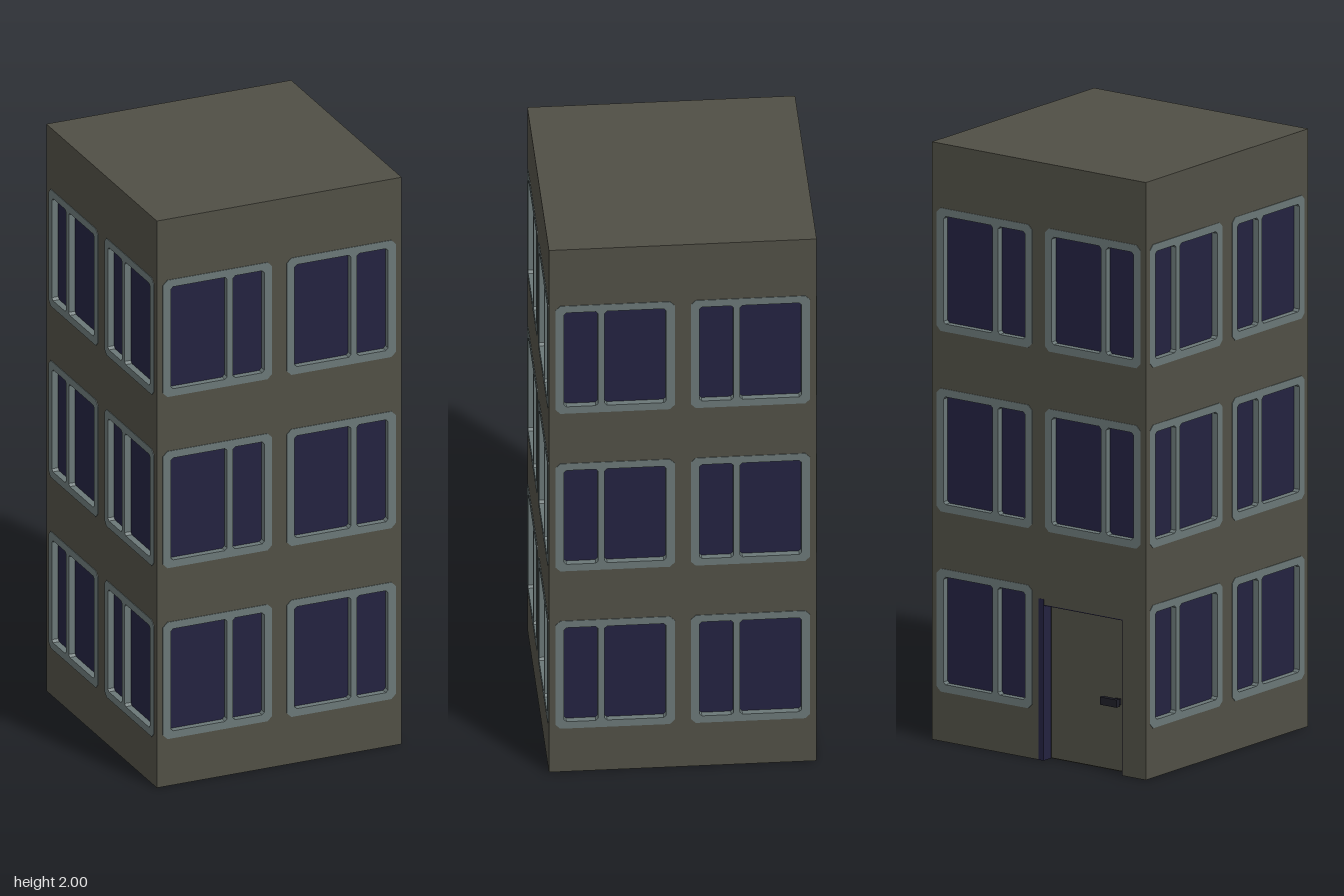
import * as THREE from 'three';

const H = 0.435;      // half width of the tower
const WALL = 0.04;    // facade thickness
const ROWS = [0.372, 0.975, 1.579];
const COLS = [-0.22, 0.22];

function material(name, color) {
  const m = new THREE.MeshStandardMaterial({ color });
  m.name = name;
  return m;
}

// Rectangle with cut corners
function chamferRect(Type, x0, x1, y0, y1, c) {
  return new Type([
    [x0 + c, y0], [x1 - c, y0], [x1, y0 + c], [x1, y1 - c],
    [x1 - c, y1], [x0 + c, y1], [x0, y1 - c], [x0, y0 + c],
  ].map(([x, y]) => new THREE.Vector2(x, y)));
}

export function createModel() {
  const wall = material('wall', 0x504f45);
  const trim = material('windowFrame', 0x6a7777);
  const glass = material('darkGlass', 0x232240);
  const dark = material('handleMetal', 0x1e1e28);

  const model = new THREE.Group();
  model.name = 'towerBlock';

  function add(parent, name, geometry, mat, x = 0, y = 0, z = 0) {
    const mesh = new THREE.Mesh(geometry, mat);
    mesh.name = name;
    mesh.position.set(x, y, z);
    parent.add(mesh);
    return mesh;
  }
  // Box given by its limits
  function span(parent, name, mat, x0, x1, y0, y1, z0, z1) {
    return add(parent, name, new THREE.BoxGeometry(x1 - x0, y1 - y0, z1 - z0), mat,
      (x0 + x1) / 2, (y0 + y1) / 2, (z0 + z1) / 2);
  }

  // Solid core carrying roof and floor
  const core = 2 * (H - WALL);
  add(model, 'core', new THREE.BoxGeometry(core, 2, core), wall, 0, 1, 0);

  // Frame with a wide and a narrow pane; s = -1 swaps the panes
  function frameGeometry(s) {
    const shape = chamferRect(THREE.Shape, -0.194, 0.194, -0.206, 0.206, 0.016);
    for (const [a, b] of [[-0.166, 0.034], [0.055, 0.166]]) {
      shape.holes.push(chamferRect(THREE.Path, Math.min(a * s, b * s), Math.max(a * s, b * s), -0.18, 0.18, 0.008));
    }
    return new THREE.ExtrudeGeometry(shape, { depth: 0.024, bevelEnabled: false });
  }
  const frames = { 1: frameGeometry(1), [-1]: frameGeometry(-1) };
  const pane = new THREE.PlaneGeometry(0.35, 0.376);

  function facade(name, angle, s, hasDoor) {
    const g = new THREE.Group();
    g.name = name;
    g.rotation.y = angle;
    model.add(g);

    // Wall outline, notched at the doorway
    const outline = [[-H, 0]];
    if (hasDoor) outline.push([0.018, 0], [0.018, 0.522], [0.34, 0.522], [0.34, 0]);
    outline.push([H, 0], [H, 2], [-H, 2]);
    const shape = new THREE.Shape(outline.map(([x, y]) => new THREE.Vector2(x, y)));

    for (const x of COLS) {
      for (const y of ROWS) {
        if (hasDoor && x > 0 && y === ROWS[0]) continue;
        shape.holes.push(chamferRect(THREE.Path, x - 0.172, x + 0.172, y - 0.186, y + 0.186, 0.004));
        const win = new THREE.Group();
        win.name = 'window';
        win.position.set(x, y, 0);
        g.add(win);
        add(win, 'windowFrame', frames[s], trim, 0, 0, H + 0.002 - 0.024);
        add(win, 'windowGlass', pane, glass, 0, 0, H - 0.02);
      }
    }
    add(g, 'wall', new THREE.ExtrudeGeometry(shape, { depth: WALL, bevelEnabled: false }), wall, 0, 0, H - WALL);

    if (hasDoor) {
      const back = H - WALL;
      // Dark jambs and lintel lining the recess
      span(g, 'doorJamb', glass, 0, 0.02, 0, 0.54, back, H + 0.001);
      span(g, 'doorJamb', glass, 0.337, 0.345, 0, 0.525, back, H - 0.0005);
      span(g, 'doorLintel', glass, 0.015, 0.343, 0.519, 0.528, back, H - 0.0005);
      // Door leaf with lever handle
      span(g, 'doorLeaf', wall, 0.024, 0.333, 0.003, 0.515, back, back + 0.005);
      span(g, 'handleStem', dark, 0.288, 0.308, 0.225, 0.245, back + 0.005, back + 0.025);
      span(g, 'handleLever', dark, 0.245, 0.312, 0.222, 0.248, back + 0.02, back + 0.036);
    }
  }

  facade('frontFacade', 0, 1, false);
  facade('backFacade', Math.PI, 1, true);
  facade('leftFacade', Math.PI / 2, -1, false);
  facade('rightFacade', -Math.PI / 2, -1, false);

  return model;
}
